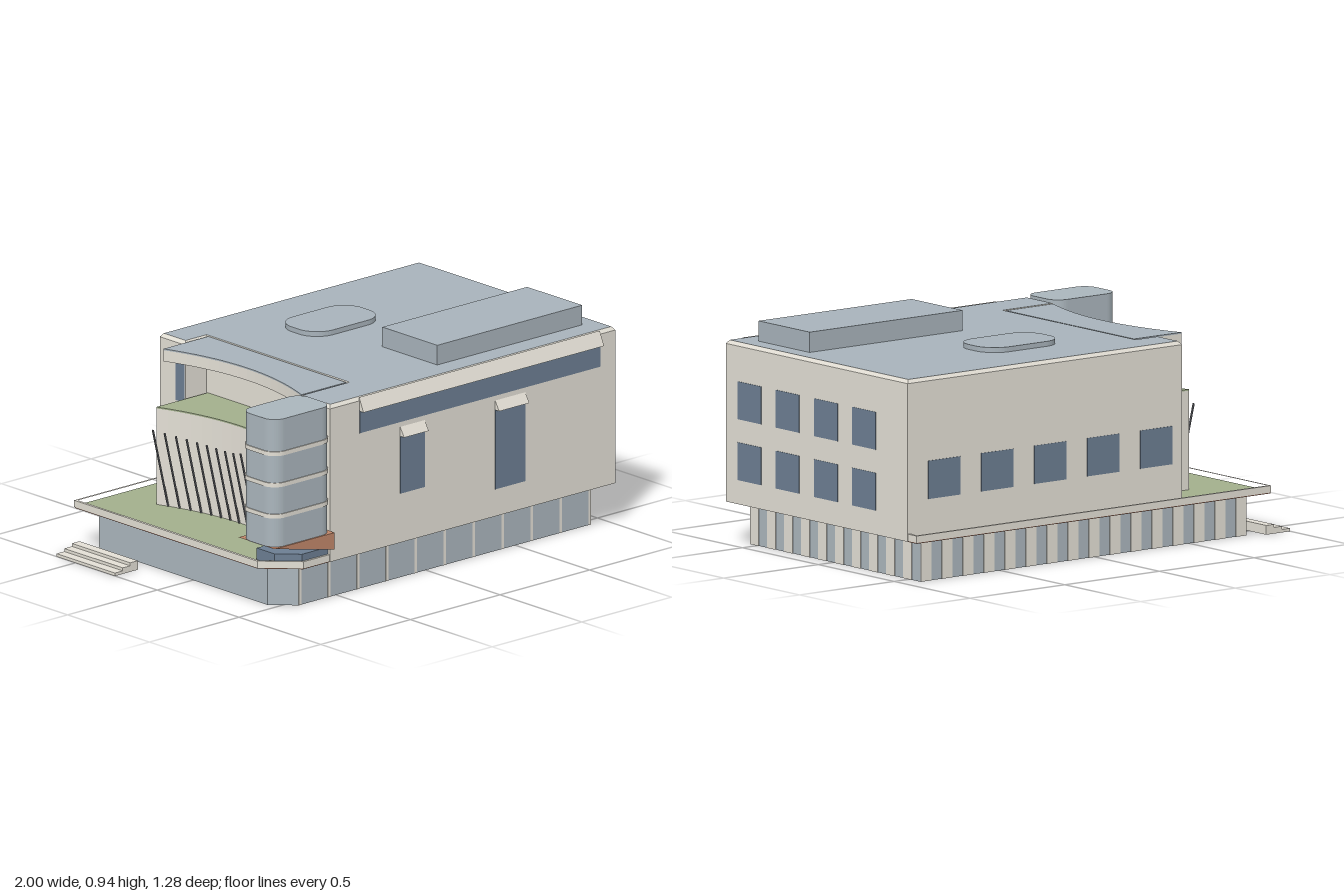
import * as THREE from 'three';

const mat = (name, color, side = THREE.FrontSide) => {
  const m = new THREE.MeshStandardMaterial({ color, side });
  m.name = name;
  return m;
};

export function createModel() {
  const model = new THREE.Group();
  model.name = 'building';
  const cream = mat('cream stone', 0xe3dfd5);
  const glass = mat('grey glass', 0xaab5bc, THREE.DoubleSide);
  const roofGrey = mat('roof grey', 0xa7b2ba);
  const blue = mat('window blue', 0x6c7e92);
  const green = mat('terrace green', 0xa2af8c);
  const brown = mat('soffit brown', 0x926857);
  const copper = mat('copper', 0xc0876a);
  const dark = mat('dark metal', 0x6b6d72);

  const add = (name, geo, material) => {
    const mesh = new THREE.Mesh(geo, material);
    mesh.name = name;
    model.add(mesh);
    return mesh;
  };
  // box given by its limits
  const box = (name, x0, x1, y0, y1, z0, z1, m) =>
    add(name, new THREE.BoxGeometry(x1 - x0, y1 - y0, z1 - z0)
      .translate((x0 + x1) / 2, (y0 + y1) / 2, (z0 + z1) / 2), m);
  // upright prism over an [x, z] outline
  const shapeOf = (pts) => new THREE.Shape(pts.map(([x, z]) => new THREE.Vector2(x, -z)));
  const prism = (name, shape, y0, y1, m) => {
    const s = Array.isArray(shape) ? shapeOf(shape) : shape;
    const g = new THREE.ExtrudeGeometry(s, { depth: y1 - y0, bevelEnabled: false, curveSegments: 6 });
    return add(name, g.rotateX(-Math.PI / 2).translate(0, y0, 0), m);
  };
  // walls between equal outlines at rising heights
  const walls = (name, rings, m) => {
    const pos = [];
    for (let r = 0; r + 1 < rings.length; r++) {
      const [a, b] = [rings[r], rings[r + 1]];
      const n = a.pts.length;
      for (let i = 0; i < n; i++) {
        const j = (i + 1) % n;
        const q = [[a, i], [a, j], [b, j], [a, i], [b, j], [b, i]];
        for (const [k, v] of q) pos.push(k.pts[v][0], k.y, k.pts[v][1]);
      }
    }
    const g = new THREE.BufferGeometry();
    g.setAttribute('position', new THREE.Float32BufferAttribute(pos, 3));
    g.computeVertexNormals();
    return add(name, g, m);
  };
  // triangular hood along x on the front wall
  const hood = (name, x0, x1, y0, y1) => {
    const s = new THREE.Shape([[0, y0], [0.027, y0], [0, y1]].map(([a, b]) => new THREE.Vector2(a, b)));
    const g = new THREE.ExtrudeGeometry(s, { depth: x1 - x0, bevelEnabled: false });
    add(name, g.rotateY(-Math.PI / 2).translate(x1, 0, 0.61), cream);
  };
  const roundRect = (x0, x1, z0, z1, r) => {
    const s = new THREE.Shape();
    const corners = [[x1 - r, -z0 - r, 0], [x0 + r, -z0 - r, 1], [x0 + r, -z1 + r, 2], [x1 - r, -z1 + r, 3]];
    for (const [x, y, q] of corners) s.absarc(x, y, r, q * Math.PI / 2, (q + 1) * Math.PI / 2, false);
    s.closePath();
    return s;
  };

  // hollow glazed plinth with a cut corner
  const plinth = [[-0.8, 0.455], [-0.71, 0.546], [0.92, 0.546], [0.92, -0.573], [-0.8, -0.573]];
  walls('plinthGlass', [{ pts: plinth, y: 0 }, { pts: plinth, y: 0.178 }], glass);
  for (let i = 0; i < 11; i++) {
    const x = -0.703 + i * 0.1617;
    box('frontMullion', x - 0.007, x + 0.007, 0, 0.178, 0.546, 0.548, cream);
  }
  for (let i = 0; i < 10; i++) {
    const z = 0.546 - i * 0.112;
    box('sidePier', 0.92, 0.923, 0, 0.178, z - 0.056, z, cream);
  }
  for (let i = 0; i < 16; i++) {
    const x = 0.92 - i * 0.111;
    box('backPier', Math.max(x - 0.055, -0.8), x, 0, 0.178, -0.576, -0.573, cream);
  }

  // floor slab with raised rim, soffit and planted terrace
  const slab = (i) => [[-0.875 + i, -0.645 + i], [0.997 - i, -0.645 + i], [0.997 - i, 0.61 - i],
    [-0.74, 0.61 - i], [-0.875 + i, 0.475]];
  const rim = shapeOf(slab(0));
  rim.holes.push(new THREE.Path(shapeOf(slab(0.012)).getPoints()));
  prism('slabRim', rim, 0.181, 0.21, cream);
  prism('soffit', slab(0.002), 0.177, 0.183, brown);
  prism('terrace', slab(0.011), 0.183, 0.19, green);

  // main body with bevelled roof edge
  const body = (i) => [[-0.595 + i, 0.612 - i], [0.998 - i, 0.612 - i], [0.998 - i, -0.587 + i],
    [-0.45 + i, -0.587 + i], [-0.45 + i, -0.43 - i], [-0.333 + i, -0.43 - i],
    [-0.333 + i, 0.42 + i], [-0.595 + i, 0.42 + i]];
  walls('bodyWalls', [{ pts: body(0), y: 0.178 }, { pts: body(0), y: 0.84 }, { pts: body(0.012), y: 0.855 }], cream);
  prism('roof', body(0.012), 0.845, 0.855, roofGrey);

  // curved terrace block and curved canopy in the recess
  const curved = (edge, bulge) => {
    const pts = [[-0.33, 0.422], [-0.33, -0.422]];
    for (let i = 0; i <= 16; i++) {
      const z = -0.422 + i * 0.844 / 16;
      pts.push([edge + bulge * (1 - (z / 0.422) ** 2), z]);
    }
    return pts;
  };
  prism('upperTerraceWall', curved(-0.62, 0.083), 0.188, 0.605, cream);
  prism('upperTerrace', curved(-0.62, 0.083), 0.605, 0.611, green);
  prism('canopy', curved(-0.58, 0.08), 0.80, 0.848, cream);
  prism('canopyTop', curved(-0.58, 0.08), 0.848, 0.854, roofGrey);

  // thin leaning rods along the curved wall
  for (let i = 0; i < 15; i++) {
    const z = -0.37 + i * 0.0525;
    const inner = -0.62 + 0.08 * (1 - (z / 0.422) ** 2);
    const t = z / 0.37;
    const lean = 0.08 + (t > 0 ? 0.055 : 0.005) * t * t;
    const a = new THREE.Vector3(inner, 0.19, z);
    const b = new THREE.Vector3(inner - lean, 0.21 + lean * 3.85, z);
    const rod = add('rod', new THREE.BoxGeometry(0.006, a.distanceTo(b), 0.007), dark);
    rod.position.copy(a).lerp(b, 0.5);
    rod.quaternion.setFromUnitVectors(new THREE.Vector3(0, 1, 0), b.sub(a).normalize());
  }

  // corner stair tower with bands and a copper wedge below
  prism('tower', roundRect(-0.928, -0.598, 0.427, 0.634, 0.06), 0.31, 0.863, glass);
  for (const y of [0.445, 0.58, 0.715])
    prism('towerBand', roundRect(-0.932, -0.594, 0.423, 0.638, 0.063), y - 0.009, y + 0.009, cream);
  const wedge = new THREE.Shape([[-0.93, 0.312], [-0.595, 0.24], [-0.595, 0.312]].map(([x, y]) => new THREE.Vector2(x, y)));
  add('towerWedge', new THREE.ExtrudeGeometry(wedge, { depth: 0.22, bevelEnabled: false }).translate(0, 0, 0.42), copper);
  prism('towerEntry', [[-0.82, 0.41], [-0.595, 0.41], [-0.595, 0.6], [-0.74, 0.6], [-0.82, 0.52]], 0.188, 0.24, blue);

  // front windows and hoods
  box('ribbonWindow', -0.43, 0.912, 0.70, 0.80, 0.61, 0.614, blue);
  hood('ribbonHood', -0.43, 0.912, 0.795, 0.855);
  box('frontWindow', -0.203, -0.066, 0.39, 0.64, 0.61, 0.614, blue);
  hood('windowHood', -0.203, -0.066, 0.638, 0.682);
  box('frontWindow', 0.327, 0.495, 0.295, 0.64, 0.61, 0.614, blue);
  hood('windowHood', 0.327, 0.495, 0.638, 0.682);

  // side, back and recess windows
  for (let i = 0; i < 4; i++)
    for (const y of [0.279, 0.534]) {
      const z = 0.378 - i * 0.252;
      box('sideWindow', 0.996, 1.0, y, y + 0.158, z, z + 0.155, blue);
    }
  for (let i = 0; i < 5; i++) {
    const x = 0.72 - i * 0.28;
    box('backWindow', x, x + 0.17, 0.345, 0.505, -0.589, -0.585, blue);
  }
  box('recessWindow', -0.452, -0.448, 0.59, 0.79, -0.49, -0.435, blue);

  // roof units
  box('roofUnit', 0.103, 0.912, 0.85, 0.94, 0.167, 0.503, roofGrey);
  prism('roofPad', roundRect(-0.035, 0.357, -0.335, -0.09, 0.1), 0.85, 0.876, roofGrey);

  // entrance steps
  [-1, -0.957, -0.915].forEach((x, i) =>
    box('step', x, -0.873, 0, 0.013 * (i + 1), -0.615, -0.258, cream));

  return model;
}
